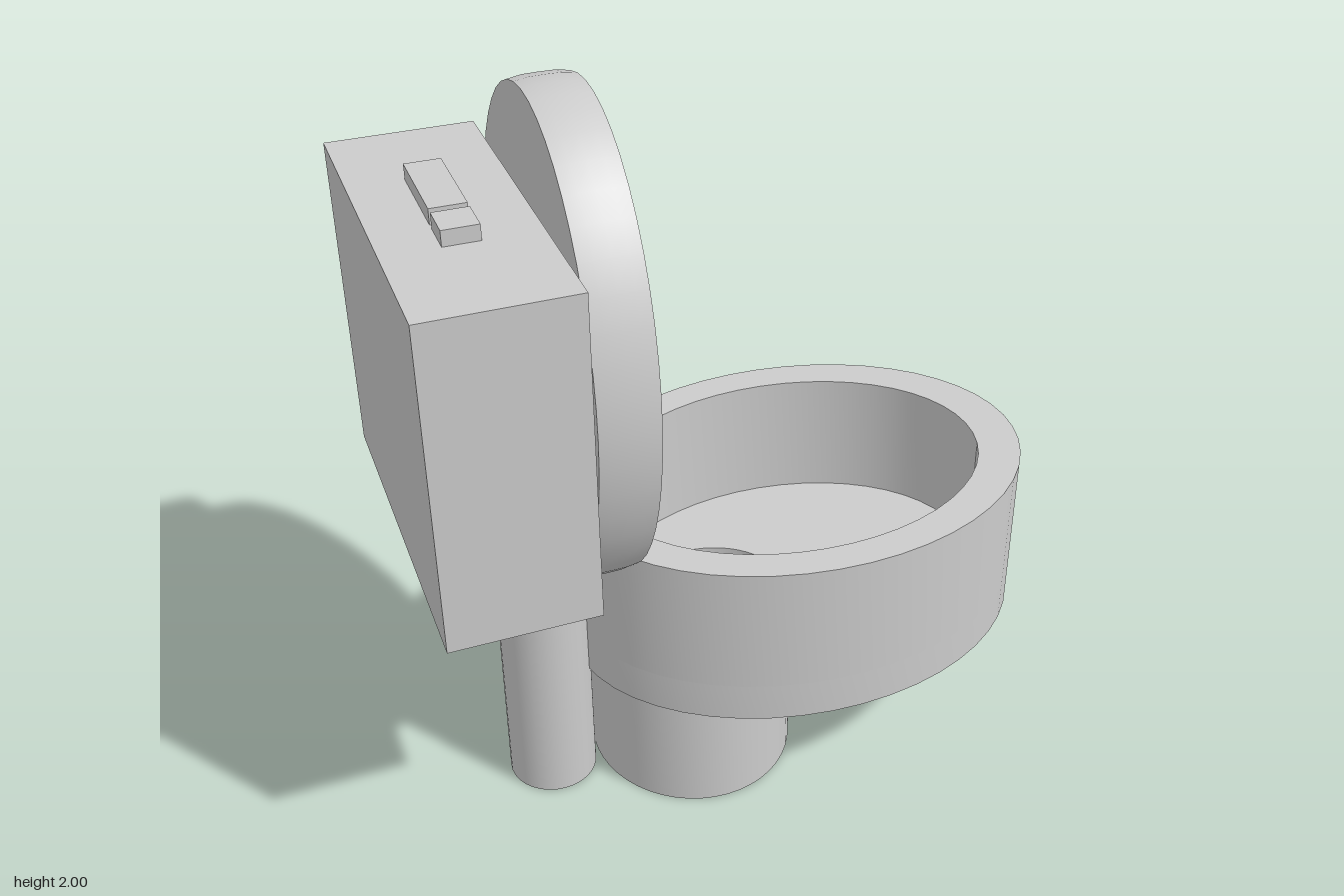
import * as THREE from 'three';
import { toCreasedNormals } from 'three/addons/utils/BufferGeometryUtils.js';

const grey = new THREE.MeshStandardMaterial({ color: 0xcccccc });

function add(group, name, geometry, x = 0, y = 0, z = 0) {
  const mesh = new THREE.Mesh(geometry, grey);
  mesh.name = name;
  mesh.position.set(x, y, z);
  group.add(mesh);
  return mesh;
}

// Upright elliptical wall from y0 to y1; ellipses are [cx, cz, rx, rz]
function ellipticBlock(outer, inner, y0, y1) {
  const trace = (path, [cx, cz, rx, rz]) => path.absellipse(cx, -cz, rx, rz, 0, Math.PI * 2);
  const shape = trace(new THREE.Shape(), outer);
  if (inner) shape.holes.push(trace(new THREE.Path(), inner));
  const geometry = new THREE.ExtrudeGeometry(shape, { depth: y1 - y0, bevelEnabled: false, curveSegments: 24 });
  geometry.rotateX(-Math.PI / 2).translate(0, y0, 0);
  return toCreasedNormals(geometry, 0.6);
}

export function createModel() {
  const model = new THREE.Group();
  model.name = 'toilet';

  // Bowl: tall oval wall, recessed floor and drain
  const bowlOuter = [0.21, 0, 0.64, 0.48];
  const bowlInner = [0.2, 0, 0.53, 0.39];
  const drain = [-0.055, 0, 0.215, 0.175];
  const bowl = new THREE.Group();
  bowl.name = 'bowl';
  model.add(bowl);
  add(bowl, 'bowlWall', ellipticBlock(bowlOuter, bowlInner, 0.47, 0.83));
  add(bowl, 'bowlFloor', ellipticBlock(bowlOuter, drain, 0.36, 0.47));
  add(bowl, 'drainCover', ellipticBlock(drain, null, 0.35, 0.365));

  // Hollow pedestal
  add(model, 'pedestal', ellipticBlock([-0.11, 0.025, 0.28, 0.3], drain, 0, 0.36));

  // Waste pipe behind the pedestal, running up into the tank
  add(model, 'pipe', new THREE.CylinderGeometry(0.12, 0.12, 1.02, 32), -0.52, 0.51, 0.02);

  // Raised oval lid with a faintly rounded edge and flat faces
  const lid = new THREE.Group();
  lid.name = 'lid';
  const edge = [[0.99, -0.075], [0.999, -0.04], [1, 0], [0.999, 0.04], [0.99, 0.075]]
    .map(([r, h]) => new THREE.Vector2(r, h));
  add(lid, 'lidEdge', new THREE.LatheGeometry(edge, 48));
  for (const side of [-1, 1]) {
    const face = new THREE.CircleGeometry(0.99, 48).rotateX(-side * Math.PI / 2);
    add(lid, side > 0 ? 'lidBack' : 'lidFront', face, 0, side * 0.075, 0);
  }
  lid.rotation.z = Math.PI / 2;
  lid.scale.set(0.645, 1, 0.482);
  lid.position.set(-0.403, 1.355, 0);
  model.add(lid);

  // Tank with two flush buttons on top
  add(model, 'tank', new THREE.BoxGeometry(0.375, 0.86, 0.96), -0.6725, 1.3, 0);
  add(model, 'largeButton', new THREE.BoxGeometry(0.09, 0.04, 0.255), -0.675, 1.75, -0.0725);
  add(model, 'smallButton', new THREE.BoxGeometry(0.09, 0.04, 0.095), -0.675, 1.75, 0.1225);

  return model;
}
